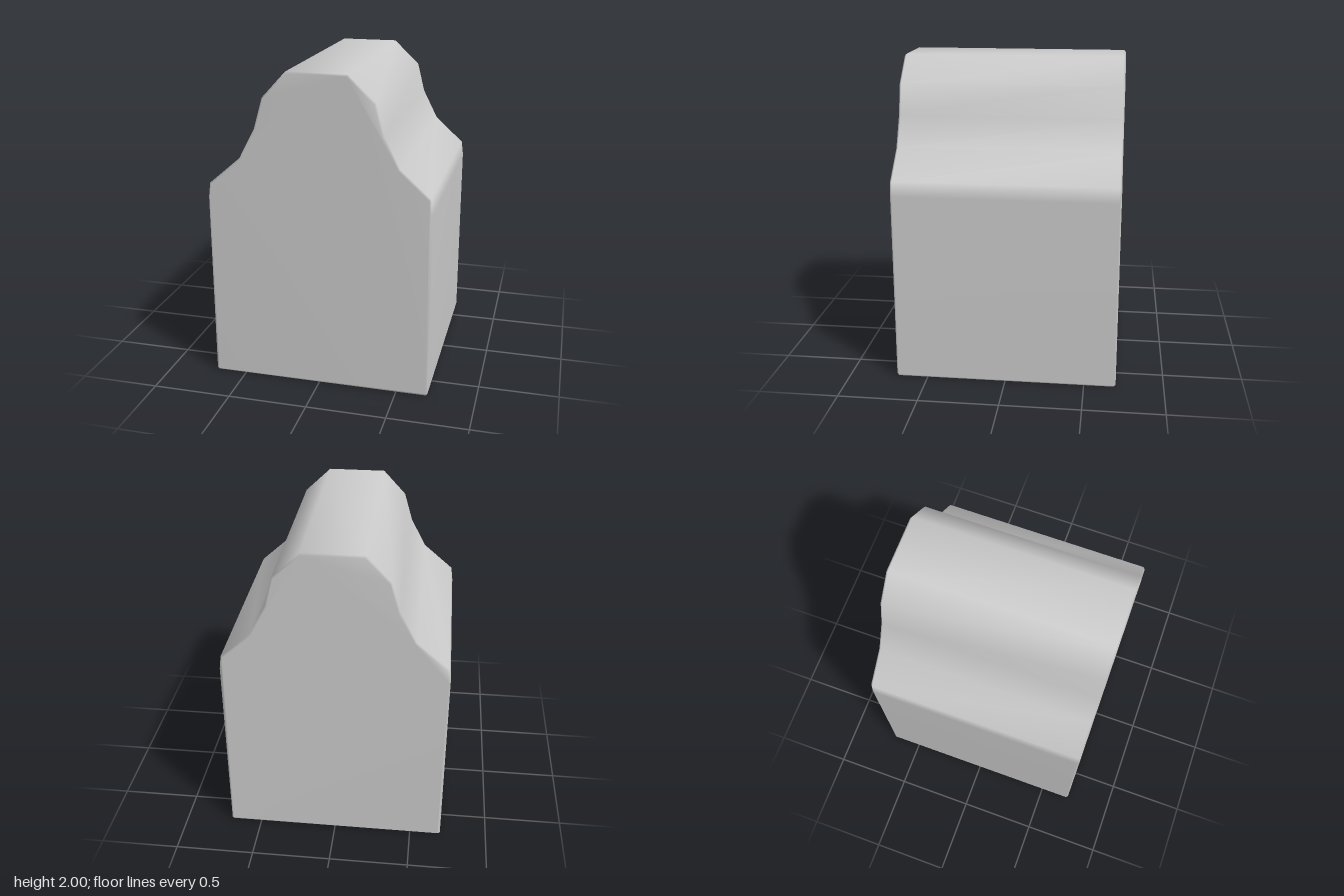
import * as THREE from 'three';
import { mergeVertices } from 'three/addons/utils/BufferGeometryUtils.js';

const BEVEL = 0.012;
const DEPTH = 1.4;

// Outline of the front face, counter-clockwise from the bottom left
const PROFILE = [
  [-0.69, 0], [0.69, 0], [0.7, 0.012],
  [0.7, 1.2], [0.688, 1.29], [0.5, 1.46], [0.403, 1.65], [0.355, 1.84], [0.187, 2],
  [-0.187, 2], [-0.335, 1.84], [-0.39, 1.65], [-0.49, 1.46], [-0.688, 1.29], [-0.7, 1.2],
  [-0.7, 0.012],
];

export function createModel() {
  const group = new THREE.Group();
  group.name = 'shoulderedBlock';

  // One bevelled extrusion along z, with the bevel kept inside the outline
  const shape = new THREE.Shape(PROFILE.map(([x, y]) => new THREE.Vector2(x, y)));
  let geometry = new THREE.ExtrudeGeometry(shape, {
    depth: DEPTH - 2 * BEVEL,
    bevelEnabled: true,
    bevelThickness: BEVEL,
    bevelSize: BEVEL,
    bevelOffset: -BEVEL,
    bevelSegments: 1,
  });
  geometry.translate(0, 0, BEVEL - DEPTH / 2);

  // Area-weighted smooth normals: large faces stay flat, bevels and shoulders blend
  geometry.deleteAttribute('uv');
  geometry.deleteAttribute('normal');
  geometry = mergeVertices(geometry, 1e-4);
  geometry.computeVertexNormals();

  const body = new THREE.Mesh(geometry, new THREE.MeshStandardMaterial({ color: 0xcccccc }));
  body.name = 'body';
  group.add(body);
  return group;
}
